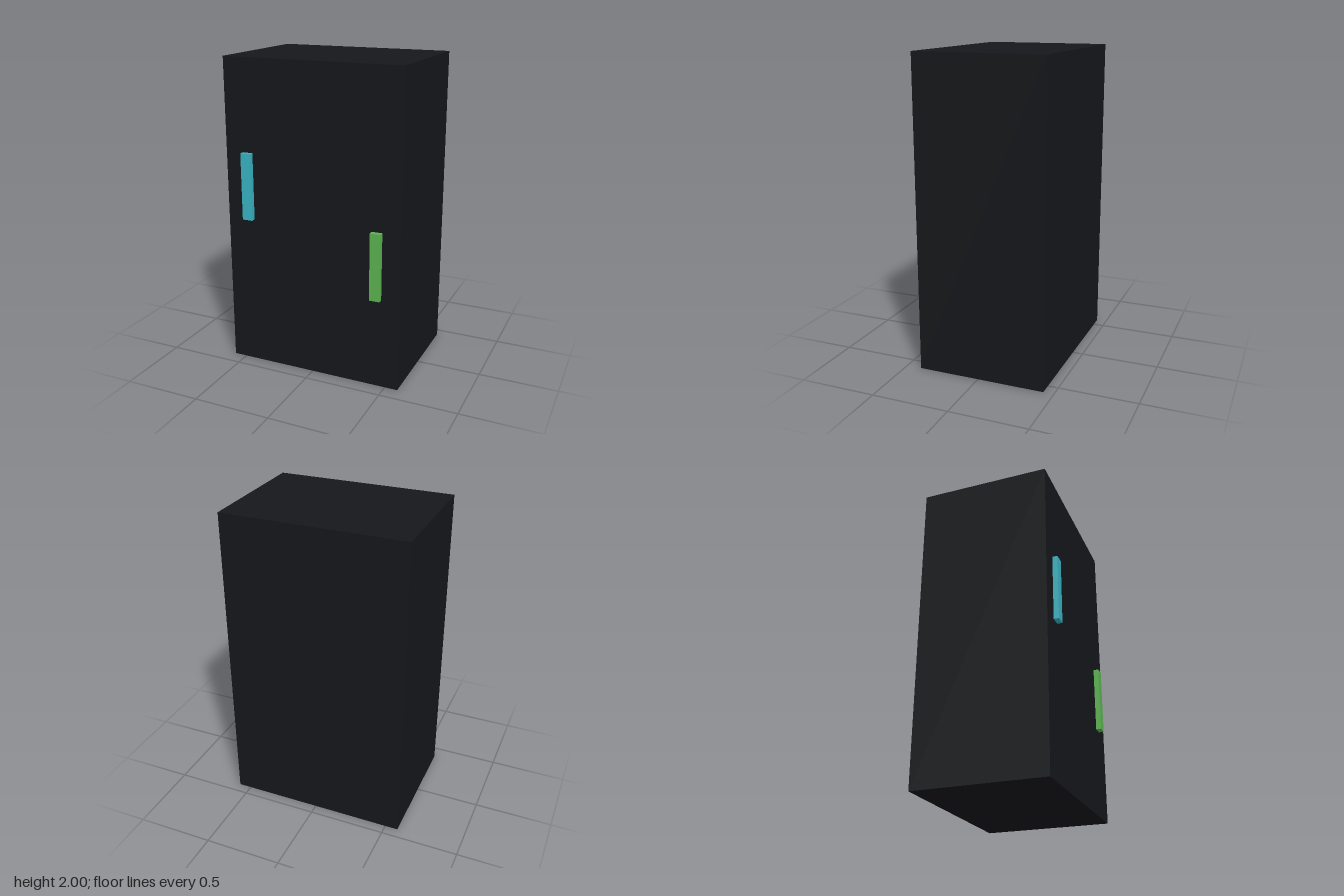
import * as THREE from 'three';

const BODY = { width: 1.167, height: 2, back: -0.433, front: 0.4 };
const HANDLE = { width: 0.067, height: 0.43, depth: 0.033 };

function box(name, size, position, color) {
  const mesh = new THREE.Mesh(
    new THREE.BoxGeometry(...size),
    new THREE.MeshStandardMaterial({ color })
  );
  mesh.name = name;
  mesh.position.set(...position);
  return mesh;
}

export function createModel() {
  const model = new THREE.Group();
  model.name = 'cabinet';

  // Closed cabinet body
  model.add(box(
    'body',
    [BODY.width, BODY.height, BODY.front - BODY.back],
    [0, BODY.height / 2, (BODY.front + BODY.back) / 2],
    0x15171a
  ));

  // Two handles on the front, staggered in height
  const handles = [
    ['rightHandle', -0.433, 1.2, 0x38b2c2],
    ['leftHandle', 0.433, 0.802, 0x5bb350],
  ];
  for (const [name, x, y, color] of handles) {
    model.add(box(
      name,
      [HANDLE.width, HANDLE.height, HANDLE.depth],
      [x, y, BODY.front + HANDLE.depth / 2],
      color
    ));
  }
  return model;
}
